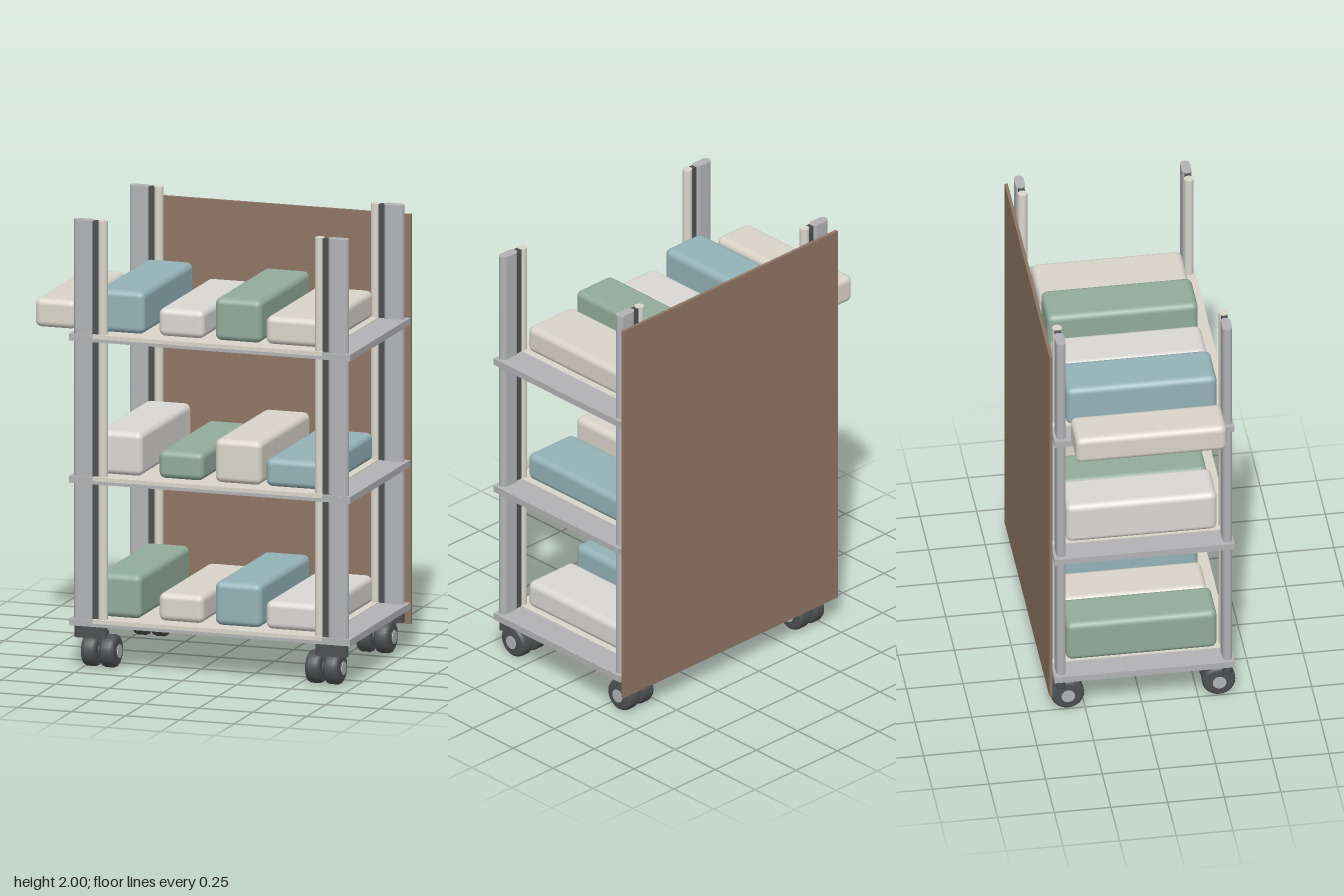
import * as THREE from 'three';
import { RoundedBoxGeometry } from 'three/addons/geometries/RoundedBoxGeometry.js';

const mat = (color) => new THREE.MeshStandardMaterial({ color });
const BROWN = mat(0x8f7564), STEEL = mat(0xb2b3b5), DARK = mat(0x4d5052), CREAM = mat(0xd9d5ca);
const WHITE = mat(0xdad8d5), TEAL = mat(0x94b3b8), GREEN = mat(0x91ac9a);

const CX = 0.09; // middle of the cart frame

function add(parent, name, geometry, material, x = 0, y = 0, z = 0) {
  const mesh = new THREE.Mesh(geometry, material);
  mesh.name = name;
  mesh.position.set(x, y, z);
  parent.add(mesh);
  return mesh;
}

// Rounded strip (stadium in plan) extruded upward between two heights
function stripGeometry(x0, x1, r, y0, y1) {
  const s = new THREE.Shape();
  s.absarc(x1 - r, 0, r, -Math.PI / 2, Math.PI / 2, false);
  s.absarc(x0 + r, 0, r, Math.PI / 2, Math.PI * 1.5, false);
  const g = new THREE.ExtrudeGeometry(s, { depth: y1 - y0, bevelEnabled: false, curveSegments: 10 });
  g.rotateX(-Math.PI / 2);
  return g.translate(0, y0, 0);
}

// Upright: wide outer rail, recessed dark joint, pale inner tube; inner side is +1 or -1 in x
function createPost(inner) {
  const post = new THREE.Group();
  post.name = 'post';
  const strip = (name, a, b, r, y0, y1, m) =>
    add(post, name, stripGeometry(Math.min(a * inner, b * inner), Math.max(a * inner, b * inner), r, y0, y1), m);
  strip('outerRail', -0.078, 0.015, 0.021, 0.19, 2, STEEL);
  strip('railJoint', 0, 0.05, 0.013, 0.19, 1.998, DARK);
  strip('innerTube', 0.034, 0.076, 0.021, 0.19, 2, CREAM);
  strip('postFoot', -0.076, 0.074, 0.02, 0.135, 0.19, DARK);
  return post;
}

// Twin-wheel caster, axle along x
function createCaster() {
  const caster = new THREE.Group();
  caster.name = 'caster';
  const tyre = [[0, -0.035], [0.058, -0.035], [0.068, -0.029], [0.073, -0.018],
    [0.073, 0.018], [0.068, 0.029], [0.058, 0.035], [0, 0.035]].map(([r, y]) => new THREE.Vector2(r, y));
  for (const s of [-1, 1]) {
    add(caster, 'wheel', new THREE.LatheGeometry(tyre, 28), DARK, s * 0.042).rotation.z = Math.PI / 2;
    add(caster, 'hubCap', new THREE.CylinderGeometry(0.03, 0.03, 0.012, 20), STEEL, s * 0.078).rotation.z = Math.PI / 2;
  }
  add(caster, 'axle', new THREE.CylinderGeometry(0.035, 0.035, 0.16, 16), DARK).rotation.z = Math.PI / 2;
  add(caster, 'fork', new THREE.BoxGeometry(0.05, 0.09, 0.05), DARK, 0, 0.04);
  return caster;
}

export function createModel() {
  const cart = new THREE.Group();
  cart.name = 'shelfCart';

  // Back panel
  add(cart, 'backPanel', new THREE.BoxGeometry(1.3, 1.83, 0.014), BROWN, CX, 1.035, -0.409);

  // Shelves: steel tray with a pale deck in the middle
  const shelfTops = [0.218, 0.855, 1.49];
  for (const y of shelfTops) {
    add(cart, 'shelf', new THREE.BoxGeometry(1.3, 0.03, 0.794), STEEL, CX, y - 0.015, 0.004);
    add(cart, 'shelfDeck', new THREE.BoxGeometry(1.06, 0.018, 0.798), CREAM, 0.08, y - 0.006, 0.004);
  }

  // Posts and casters at the four corners
  for (const side of [-1, 1]) {
    for (const [postZ, wheelZ] of [[0.374, 0.342], [-0.36, -0.325]]) {
      const post = createPost(-side);
      post.position.set(CX + side * 0.556, 0, postZ);
      cart.add(post);
      const caster = createCaster();
      caster.position.set(CX + side * 0.518, 0.075, wheelZ);
      cart.add(caster);
    }
  }

  // Boxes on each shelf: [left x, right x, height, material]
  const rows = [
    [[-0.455, -0.25, 0.195, GREEN], [-0.17, 0.037, 0.125, CREAM], [0.09, 0.305, 0.195, TEAL], [0.325, 0.595, 0.125, WHITE]],
    [[-0.455, -0.245, 0.195, WHITE], [-0.17, 0.037, 0.125, GREEN], [0.09, 0.305, 0.195, CREAM], [0.325, 0.595, 0.125, TEAL]],
    [[-0.742, -0.552, 0.128, CREAM], [-0.455, -0.235, 0.19, TEAL], [-0.17, 0.04, 0.125, WHITE],
      [0.09, 0.305, 0.19, GREEN], [0.325, 0.595, 0.125, CREAM]],
  ];
  rows.forEach((row, i) => {
    for (const [x0, x1, h, m] of row) {
      add(cart, 'storageBox', new RoundedBoxGeometry(x1 - x0, h, 0.665, 3, 0.028), m,
        (x0 + x1) / 2, shelfTops[i] + 0.004 + h / 2, 0.008);
    }
  });

  return cart;
}
